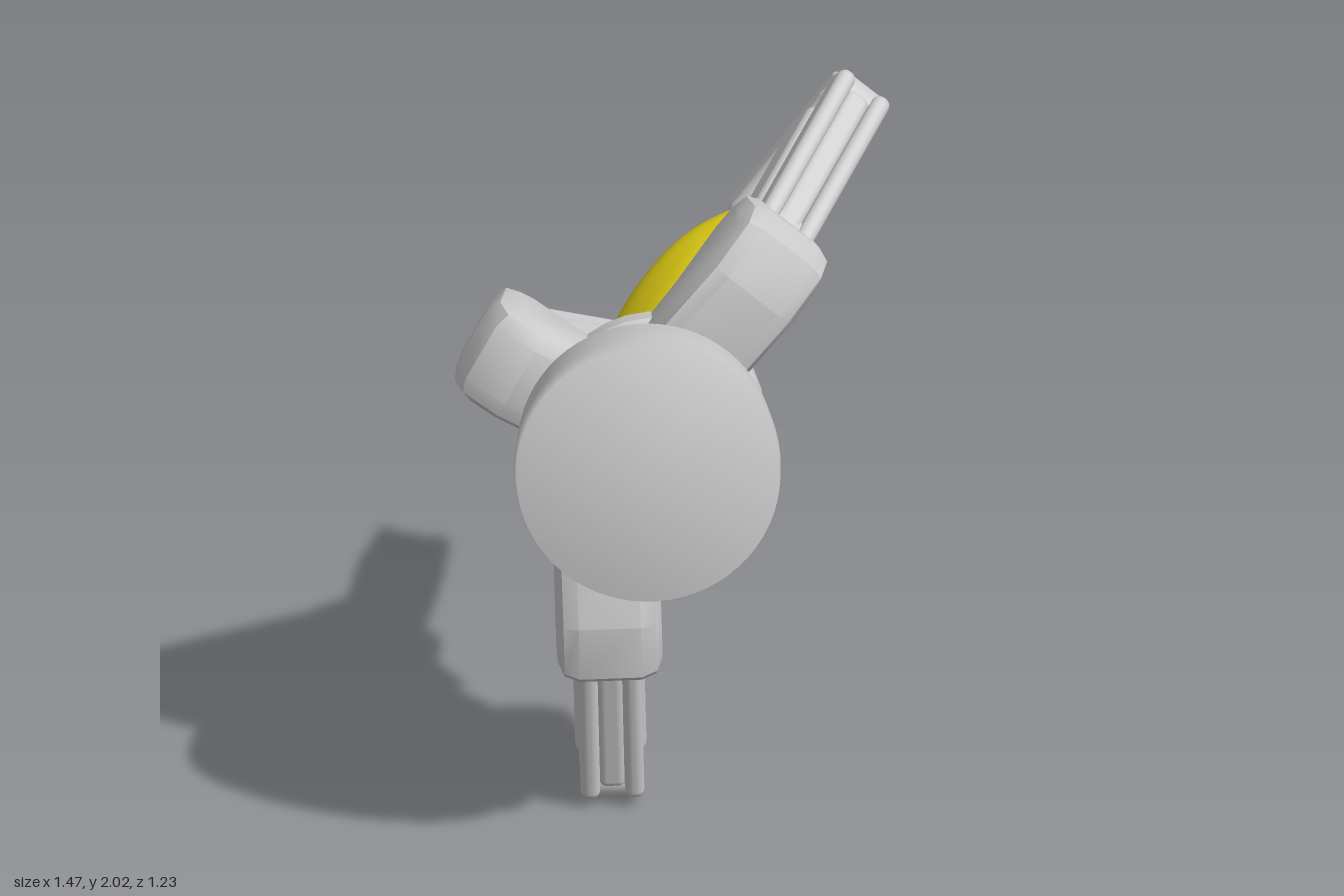
import * as THREE from 'three';
import { toCreasedNormals } from 'three/addons/utils/BufferGeometryUtils.js';
import { RoundedBoxGeometry } from 'three/addons/geometries/RoundedBoxGeometry.js';
import { ParametricGeometry } from 'three/addons/geometries/ParametricGeometry.js';

const grey = new THREE.MeshStandardMaterial({ color: 0xcccccc });
const yellow = new THREE.MeshStandardMaterial({ color: 0xdcca14 });

// The hand frame: origin at the wrist face, x runs from the wrist to the fingertips
const wristFace = new THREE.Vector3(-0.425, 1.322, 0.43);
const reach = new THREE.Vector3(0.44, -0.19, -0.88).normalize();

// A group with x along the hand and y pointing radially outward
function handFrame(name, rx, ry, rz) {
  const r = new THREE.Vector3(rx, ry, rz);
  r.addScaledVector(reach, -r.dot(reach)).normalize();
  const w = new THREE.Vector3().crossVectors(reach, r);
  const g = new THREE.Group();
  g.name = name;
  g.applyMatrix4(new THREE.Matrix4().makeBasis(reach, r, w).setPosition(wristFace));
  return g;
}

function add(group, name, geometry, material = grey) {
  const m = new THREE.Mesh(geometry, material);
  m.name = name;
  group.add(m);
  return m;
}

// Bevelled plate with the given profile, centred across the finger
function plate(points, width, bevel) {
  const shape = new THREE.Shape(points.map(p => new THREE.Vector2(...p)));
  const g = new THREE.ExtrudeGeometry(shape, {
    depth: width - 2 * bevel, bevelThickness: bevel, bevelSize: bevel,
    bevelOffset: -bevel, bevelSegments: 2
  });
  g.translate(0, 0, bevel - width / 2);
  return toCreasedNormals(g, 0.6);
}

// Rounded bar along a to b, shifted sideways by off and across by z
function bar(group, name, a, b, thick, width, off, z, from, to, round = 0.025) {
  const dx = b[0] - a[0], dy = b[1] - a[1], len = Math.hypot(dx, dy);
  const t = (from + to) / 2;
  const m = add(group, name, new RoundedBoxGeometry(len * (to - from), thick, width, 3, round));
  m.position.set(a[0] + dx * t - dy / len * off, a[1] + dy * t + dx / len * off, z);
  m.rotation.z = Math.atan2(dy, dx);
}

function pin(group, name, p, radius, width) {
  const m = add(group, name, toCreasedNormals(new THREE.CylinderGeometry(radius, radius, width, 20), 0.6));
  m.rotation.x = Math.PI / 2;
  m.position.set(p[0], p[1], 0);
}

// One finger: knuckle, middle link with rails and pad, tip link with a trough behind.
// shift moves it sideways; knuckle gives the knuckle's forward offset and outward length factor
function finger(name, radial, shift, knuckle, root, joint, tip) {
  const g = handFrame(name, ...radial);
  g.translateZ(shift);
  const profile = [[0.34, 0.16], [0.285, 0.53], [0.34, 0.69], [0.44, 0.725], [0.65, 0.69],
    [0.66, 0.55], [0.59, 0.36], [0.57, 0.16]];
  add(g, 'knuckle', plate(profile.map(([x, y]) => [x + knuckle[0], y * knuckle[1]]), 0.295, 0.06));
  pin(g, 'rootPin', root, 0.065, 0.17);

  // the pad lies on the gripping side, which is the side the tip folds to
  const cross = (joint[0] - root[0]) * (tip[1] - joint[1]) - (joint[1] - root[1]) * (tip[0] - joint[0]);
  const side = Math.sign(cross);
  bar(g, 'middlePad', root, joint, 0.13, 0.2, side * 0.045, 0, -0.06, 0.84, 0.035);
  for (const s of [-1, 1]) {
    bar(g, 'middleRail', root, joint, 0.085, 0.055, -side * 0.04, s * 0.062, -0.12, 1.06);
  }
  bar(g, 'middleSpine', root, joint, 0.07, 0.08, -side * 0.03, 0, -0.1, 1);

  pin(g, 'jointPin', joint, 0.06, 0.14);
  bar(g, 'tipPad', joint, tip, 0.1, 0.18, side * 0.02, 0, 0, 1, 0.04);
  for (const s of [-1, 1]) {
    bar(g, 'tipRim', joint, tip, 0.085, 0.04, -side * 0.025, s * 0.065, -0.08, 0.96, 0.018);
  }
  return g;
}

// Curved fruit: each curve point holds x, y and the half thickness
function banana() {
  const curve = new THREE.CatmullRomCurve3([
    [-0.175, 0.29, 0.045], [-0.195, 0.4, 0.078], [-0.22, 0.56, 0.108], [-0.232, 0.8, 0.122],
    [-0.2, 1.03, 0.126], [-0.118, 1.27, 0.126], [0.003, 1.465, 0.12], [0.118, 1.575, 0.104],
    [0.235, 1.64, 0.072], [0.36, 1.665, 0.045]
  ].map(p => new THREE.Vector3(...p)));
  return new ParametricGeometry((u, v, out) => {
    const p = curve.getPoint(v), t = curve.getTangent(v);
    const l = Math.hypot(t.x, t.y);
    const a = u * Math.PI * 2;
    const cap = Math.min(1, Math.sqrt(v / 0.03 + 1e-5), Math.sqrt((1 - v) / 0.03 + 1e-5));
    const r = p.z * cap * (1 + 0.025 * Math.cos(5 * a));
    const c = r * Math.cos(a);
    out.set(p.x + c * t.y / l, p.y - c * t.x / l,
      -0.195 - 0.04 * (2 * v - 1) ** 2 - 1.14 * r * Math.sin(a));
  }, 40, 90);
}

export function createModel() {
  const model = new THREE.Group();
  model.name = 'gripperHoldingBanana';

  // Wrist drum and palm, turned about the hand axis
  const palm = handFrame('palm', -0.72, 0.48, -0.47);
  const drum = new THREE.LatheGeometry([[0, 0], [0.372, 0], [0.375, 0.1], [0.362, 0.28], [0.345, 0.32],
    [0.31, 0.355], [0.285, 0.4], [0.27, 0.5], [0, 0.5]].map(p => new THREE.Vector2(...p)), 64);
  add(palm, 'wristDrum', drum.rotateZ(-Math.PI / 2));
  const pad = new THREE.LatheGeometry([[0, 0.44], [0.27, 0.44], [0.31, 0.465], [0.31, 0.53], [0.27, 0.57],
    [0, 0.57]].map(p => new THREE.Vector2(...p)), 32);
  const padMesh = add(palm, 'palmPad', toCreasedNormals(pad.rotateZ(-Math.PI / 2), 0.7));
  padMesh.position.set(0, -0.02, 0.03);

  // Cable housing on the side of the palm with no finger
  const housing = add(palm, 'sideHousing', new RoundedBoxGeometry(0.32, 0.16, 0.24, 2, 0.03));
  housing.position.set(0.4, -0.265, -0.02);
  const plug = add(palm, 'sidePlug', new RoundedBoxGeometry(0.1, 0.09, 0.12, 2, 0.02));
  plug.position.set(0.54, -0.28, 0);
  model.add(palm);

  // Three fingers: root, joint and tip are in each finger's own frame
  model.add(finger('upperFinger', [0.63, 0.76, 0.15], -0.04, [0, 1],
    [0.61, 0.655], [0.995, 1.0], [0.96, 0.53]));
  model.add(finger('lowerFinger', [-0.06, -0.98, 0.18], 0.118, [0, 1],
    [0.61, 0.67], [0.81, 1.105], [1.12, 0.745]));
  model.add(finger('sideFinger', [-0.72, 0.48, -0.47], 0, [0.005, 0.77],
    [0.65, 0.42], [1.055, 0.075], [0.65, -0.19]));

  add(model, 'banana', banana(), yellow);

  // Stand on the ground, centred
  model.updateMatrixWorld(true);
  const box = new THREE.Box3().setFromObject(model, true);
  const mid = box.getCenter(new THREE.Vector3());
  model.position.set(-mid.x, -box.min.y, -mid.z);
  return model;
}
